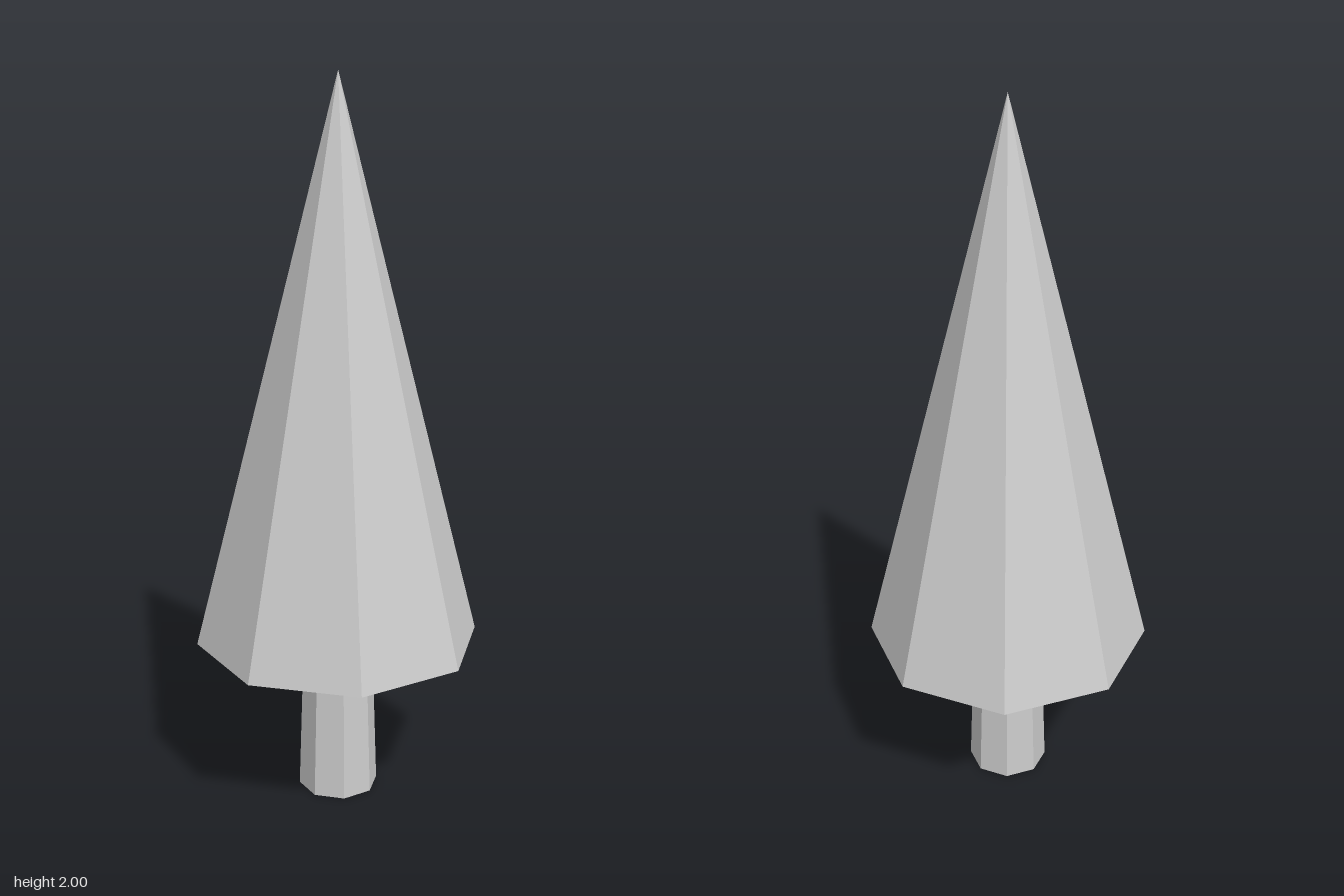
import * as THREE from 'three';

export function createModel() {
  const tree = new THREE.Group();
  tree.name = 'tree';
  const sides = 8;
  const trunkHeight = 0.455;
  const crownHeight = 2 - trunkHeight;
  const material = new THREE.MeshStandardMaterial({
    color: 0xcccccc, flatShading: true, side: THREE.DoubleSide,
  });

  // Slightly tapered trunk, a tube open at the foot
  const trunk = new THREE.Mesh(
    new THREE.CylinderGeometry(0.098, 0.113, trunkHeight, sides, 1, true), material);
  trunk.name = 'trunk';
  trunk.position.y = trunkHeight / 2;

  // Pointed crown with a flat underside
  const crown = new THREE.Mesh(
    new THREE.ConeGeometry(0.398, crownHeight, sides), material);
  crown.name = 'crown';
  crown.position.y = trunkHeight + crownHeight / 2;

  tree.add(trunk, crown);
  return tree;
}
